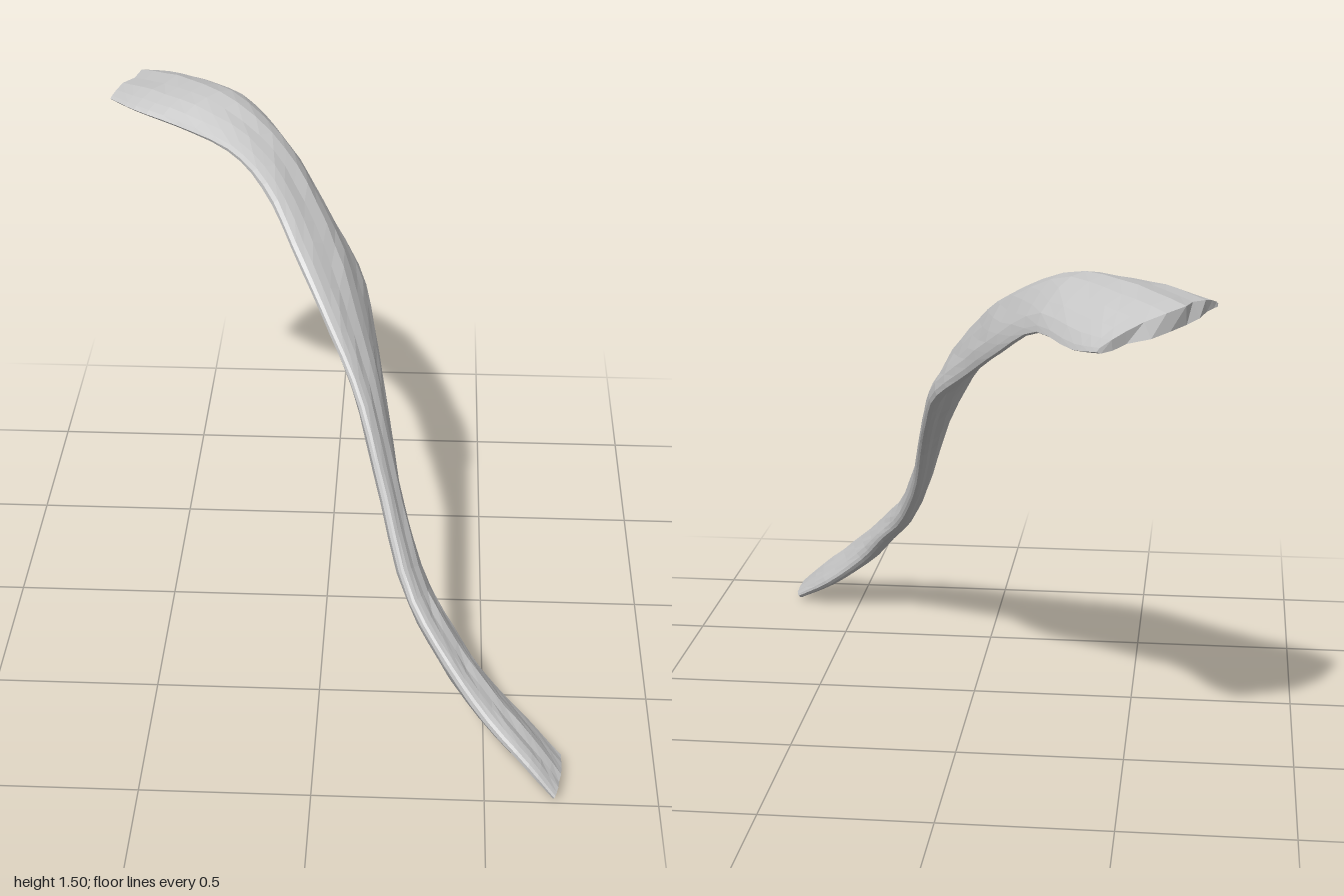
import * as THREE from 'three';

// Sections from foot to head: outer edge xyz, inner edge xyz, arch height, half thickness
const SECTIONS = [
  [[0.70, 0.02, 1.00], [0.72, 0.02, 0.80], 0.000, 0.022],
  [[0.62, 0.10, 0.96], [0.60, 0.10, 0.72], 0.000, 0.033],
  [[0.50, 0.20, 0.88], [0.46, 0.22, 0.65], 0.000, 0.038],
  [[0.38, 0.33, 0.78], [0.38, 0.32, 0.57], -0.005, 0.035],
  [[0.27, 0.47, 0.65], [0.31, 0.40, 0.48], 0.000, 0.032],
  [[0.18, 0.70, 0.42], [0.23, 0.57, 0.30], 0.000, 0.030],
  [[0.10, 0.90, 0.23], [0.18, 0.77, 0.10], 0.000, 0.032],
  [[0.00, 1.06, 0.07], [0.14, 0.90, -0.09], 0.010, 0.036],
  [[-0.10, 1.21, -0.08], [0.09, 1.03, -0.27], 0.018, 0.040],
  [[-0.20, 1.34, -0.25], [-0.02, 1.14, -0.43], 0.030, 0.042],
  [[-0.32, 1.40, -0.40], [-0.13, 1.25, -0.60], 0.050, 0.040],
  [[-0.50, 1.42, -0.54], [-0.25, 1.35, -0.77], 0.072, 0.036],
  [[-0.65, 1.43, -0.64], [-0.36, 1.34, -0.93], 0.065, 0.033],
  [[-0.74, 1.43, -0.73], [-0.43, 1.35, -1.00], 0.035, 0.025],
];
const RINGS = 40, SIDES = 22;

function seeded(seed) {
  return () => {
    seed = (seed * 16807) % 2147483647;
    return seed / 2147483647;
  };
}

function strapGeometry() {
  const rand = seeded(77);
  const curve = (pick) => new THREE.CatmullRomCurve3(SECTIONS.map((s) => new THREE.Vector3(...pick(s))));
  const outer = curve((s) => s[0]);
  const inner = curve((s) => s[1]);
  const shape = curve((s) => [s[2], s[3], 0]);
  const middle = (t) => outer.getPoint(t).add(inner.getPoint(t)).multiplyScalar(0.5);

  // Lengthwise fibre ridges, one value per side
  const ridge = Array.from({ length: SIDES }, () => rand() - 0.5);
  const points = [];
  const index = [];
  for (let i = 0; i <= RINGS; i++) {
    const t = i / RINGS;
    const mid = middle(t);
    const along = middle(Math.min(1, t + 0.02)).sub(middle(Math.max(0, t - 0.02))).normalize();
    const half = outer.getPoint(t).sub(inner.getPoint(t)).multiplyScalar(0.5);
    const up = along.clone().cross(half).normalize();
    const { x: arch, y: thick } = shape.getPoint(t);
    for (let j = 0; j < SIDES; j++) {
      const a = (j / SIDES) * Math.PI * 2;
      const s = Math.sin(a);
      const rough = 1 + 0.3 * ridge[j] + 0.14 * (rand() - 0.5);
      const p = mid.clone()
        .addScaledVector(half, Math.cos(a))
        .addScaledVector(up, arch * s * s + thick * s * rough);
      // Rounded, ragged head end
      const push = Math.max(0, (t - 0.9) / 0.1);
      p.addScaledVector(along, push * s * s * (0.075 + 0.04 * ridge[j]));
      points.push(p.x, Math.max(0, p.y), p.z);
    }
  }
  for (let i = 0; i < RINGS; i++) {
    for (let j = 0; j < SIDES; j++) {
      const k = (j + 1) % SIDES;
      const a = i * SIDES + j, b = i * SIDES + k;
      index.push(a, b, b + SIDES, a, b + SIDES, a + SIDES);
    }
  }
  // End caps: bridge upper and lower halves of each end ring
  const last = RINGS * SIDES;
  for (let j = 0; j < SIDES / 2; j++) {
    const a = j, b = j + 1, c = (SIDES - j - 1) % SIDES, d = (SIDES - j) % SIDES;
    const quad = [[a, b, c], [a, c, d]];
    for (const [p, q, r] of quad) {
      if (p === q || q === r || p === r) continue;
      index.push(p, r, q, last + p, last + q, last + r);
    }
  }
  const geometry = new THREE.BufferGeometry();
  geometry.setAttribute('position', new THREE.Float32BufferAttribute(points, 3));
  geometry.setIndex(index);
  // Separate faces give faceted shading
  const flat = geometry.toNonIndexed();
  flat.computeVertexNormals();
  return flat;
}

export function createModel() {
  const group = new THREE.Group();
  group.name = 'muscleStrap';
  const material = new THREE.MeshStandardMaterial({ color: 0xc4c4c4 });
  material.name = 'light grey';
  const strap = new THREE.Mesh(strapGeometry(), material);
  strap.name = 'strap';
  group.add(strap);
  return group;
}
